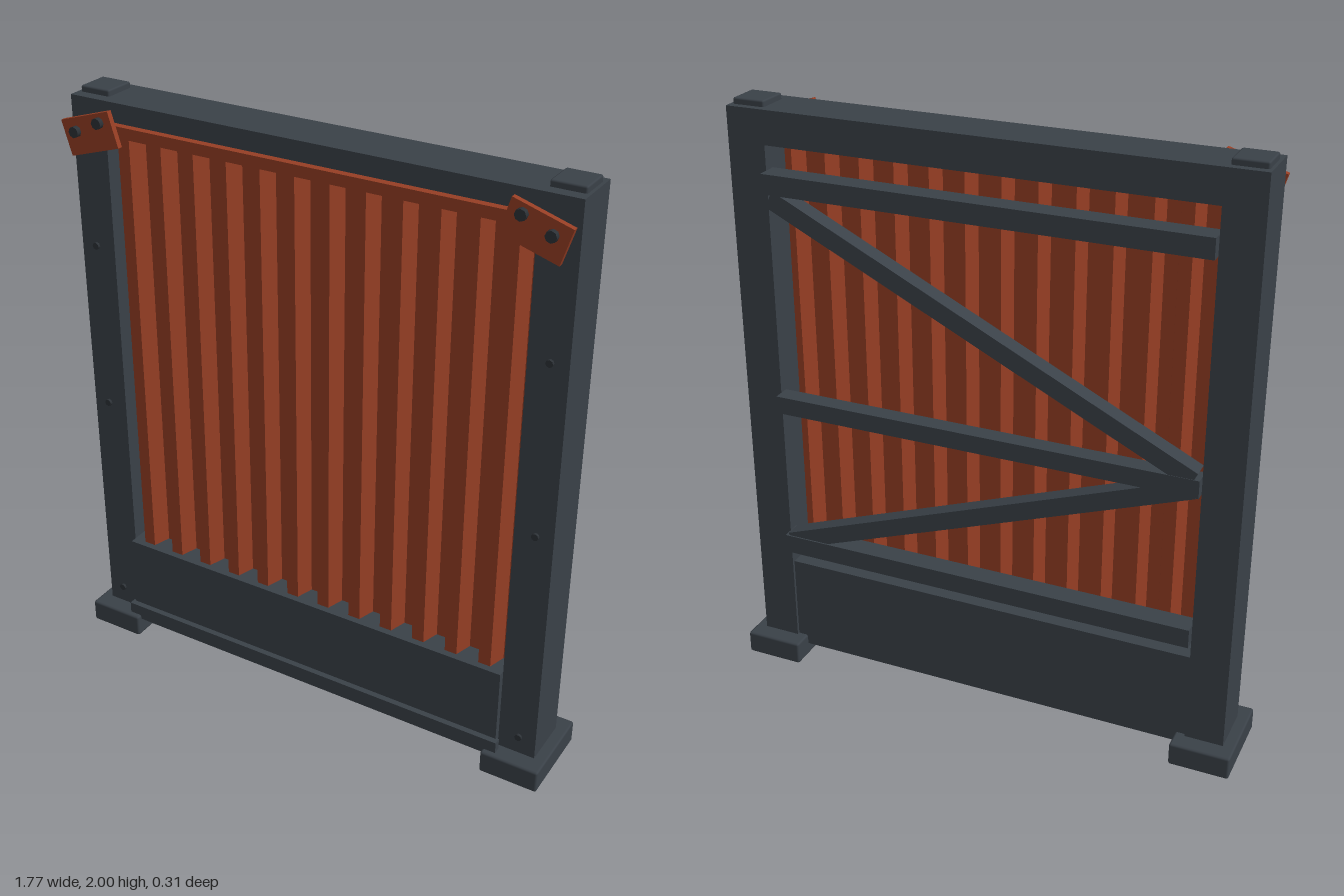
import * as THREE from 'three';
import { RoundedBoxGeometry } from 'three/addons/geometries/RoundedBoxGeometry.js';

const steel = new THREE.MeshStandardMaterial({ color: 0x3a4148 });
steel.name = 'dark steel';
const rust = new THREE.MeshStandardMaterial({ color: 0x963e24 });
rust.name = 'rust red';
const boltDark = new THREE.MeshStandardMaterial({ color: 0x2d3237 });
boltDark.name = 'bolt grey';

export function createModel() {
  const model = new THREE.Group();
  model.name = 'corrugatedWallPanel';

  const add = (name, geometry, material, parent = model) => {
    const mesh = new THREE.Mesh(geometry, material);
    mesh.name = name;
    parent.add(mesh);
    return mesh;
  };
  // Box given by its min and max on each axis
  const box = (name, [x0, x1], [y0, y1], [z0, z1], material = steel, bevel = 0) => {
    const size = [x1 - x0, y1 - y0, z1 - z0];
    const geometry = bevel ? new RoundedBoxGeometry(...size, 1, bevel) : new THREE.BoxGeometry(...size);
    const mesh = add(name, geometry, material);
    mesh.position.set((x0 + x1) / 2, (y0 + y1) / 2, (z0 + z1) / 2);
    return mesh;
  };
  // Bolt head facing the front, from z0 to z1
  const bolt = (name, x, y, z0, z1, radius, sides) => {
    const mesh = add(name, new THREE.CylinderGeometry(radius, radius, z1 - z0, sides).rotateX(Math.PI / 2), boltDark);
    mesh.position.set(x, y, (z0 + z1) / 2);
  };
  // Flat bar between two points on the back face
  const brace = (name, [x0, y0], [x1, y1]) => {
    const length = Math.hypot(x1 - x0, y1 - y0);
    const mesh = add(name, new THREE.BoxGeometry(length, 0.06, 0.06), steel);
    mesh.position.set((x0 + x1) / 2, (y0 + y1) / 2, -0.09);
    mesh.rotation.z = Math.atan2(y1 - y0, x1 - x0);
  };

  // Posts, feet, caps, corner plates and bolts on each side
  for (const s of [1, -1]) {
    const side = s > 0 ? 'left' : 'right';
    const span = (a, b) => (s > 0 ? [a, b] : [-b, -a]);
    box(side + 'Post', span(0.72, 0.848), [0.06, 1.98], [-0.09, 0.083]);
    box(side + 'Foot', span(0.685, 0.887), [0, 0.08], [-0.15, 0.145], steel, 0.008);
    box(side + 'PostCap', span(0.73, 0.838), [1.97, 2], [-0.065, 0.045], steel, 0.006);
    for (const y of [0.145, 0.915, 1.49]) bolt(side + 'PostBolt', s * 0.79, y, 0.08, 0.092, 0.012, 8);

    const plate = box(side + 'CornerPlate', span(0.645, 0.835), [1.83, 1.945], [0.12, 0.138], rust);
    plate.rotation.z = -s * 0.3;
    bolt(side + 'PlateBoltOuter', s * 0.79, 1.888, 0.136, 0.155, 0.018, 8);
    bolt(side + 'PlateBoltInner', s * 0.70, 1.93, 0.136, 0.155, 0.018, 8);
  }

  // Beam, red header strip, kick panel and sill
  box('topBeam', [-0.72, 0.72], [1.87, 1.98], [-0.09, 0.083]);
  box('headerStrip', [-0.72, 0.72], [1.88, 1.917], [0.08, 0.108], rust);
  box('kickPanel', [-0.72, 0.72], [0.045, 0.38], [-0.08, 0.105]);
  box('sillStrip', [-0.73, 0.73], [0.065, 0.12], [0.1, 0.125]);

  // Corrugated sheet: trapezoid ribs swept upward
  const front = 0.082, back = 0.022, edge = 0.715, pitch = 0.119, slope = 0.018, thick = 0.006;
  const line = [[-edge, back]];
  for (let i = 0; i < 12; i++) {
    const end = -0.635 + i * pitch;
    line.push([end - 0.06, back], [end - 0.042, front], [end, front], [end + slope, back]);
  }
  line.push([edge, back]);
  const outline = [
    ...line.map(([x, z]) => new THREE.Vector2(x, -z)),
    ...line.slice().reverse().map(([x, z]) => new THREE.Vector2(x, thick - z)),
  ];
  const sheet = new THREE.ExtrudeGeometry(new THREE.Shape(outline), { depth: 1.53, bevelEnabled: false });
  add('corrugatedSheet', sheet.rotateX(-Math.PI / 2), rust).position.y = 0.36;

  // Rails and diagonal braces on the back
  box('upperRail', [-0.72, 0.72], [1.725, 1.79], [-0.125, -0.05]);
  box('lowerRail', [-0.72, 0.72], [0.445, 0.51], [-0.125, -0.05]);
  box('middleRail', [-0.72, 0.72], [0.975, 1.035], [-0.122, -0.06]);
  brace('upperBrace', [0.7, 1.71], [-0.7, 1.03]);
  brace('lowerBrace', [0.7, 0.49], [-0.7, 1.0]);

  return model;
}
